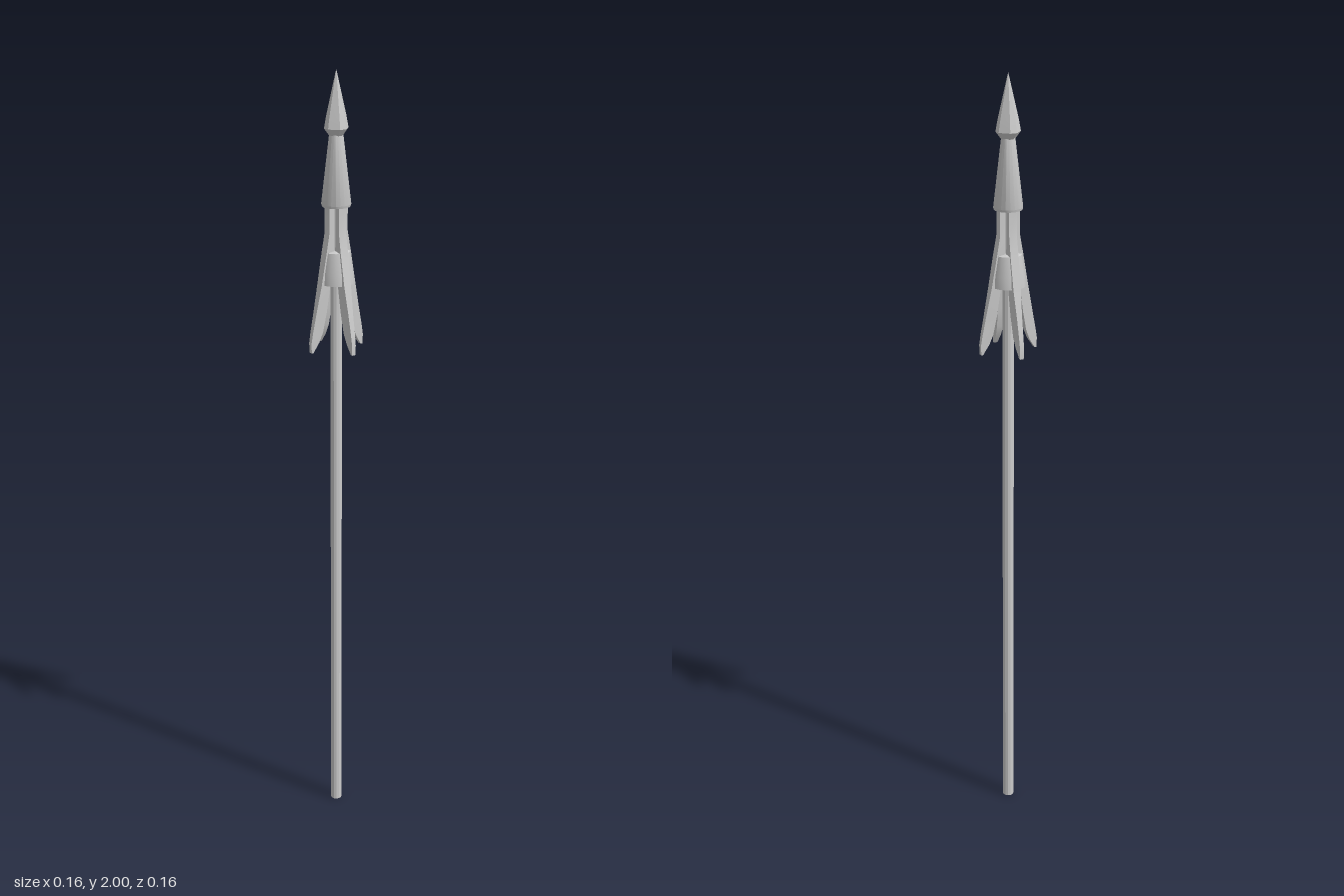
import * as THREE from 'three';
import { toCreasedNormals } from 'three/addons/utils/BufferGeometryUtils.js';

const material = new THREE.MeshStandardMaterial({ color: 0xcccccc });

function part(name, geometry) {
  const mesh = new THREE.Mesh(toCreasedNormals(geometry, 0.5), material);
  mesh.name = name;
  return mesh;
}

function lathe(name, points, segments) {
  return part(name, new THREE.LatheGeometry(points.map(([r, y]) => new THREE.Vector2(r, y)), segments));
}

// Four-sided loft running down in y; each row is [y, inner x, outer x, inner half width, outer half width]
function loft(rows) {
  const positions = [];
  const index = [];
  for (const [y, xi, xo, wi, wo] of rows) {
    positions.push(xi, y, wi, xo, y, wo, xo, y, -wo, xi, y, -wi);
  }
  for (let i = 0; i < rows.length - 1; i++) {
    for (let j = 0; j < 4; j++) {
      const a = i * 4 + j, b = i * 4 + (j + 1) % 4;
      index.push(a, a + 4, b, b, a + 4, b + 4);
    }
  }
  const e = (rows.length - 1) * 4;
  index.push(0, 1, 2, 0, 2, 3, e, e + 2, e + 1, e, e + 3, e + 2);
  const geometry = new THREE.BufferGeometry();
  geometry.setAttribute('position', new THREE.Float32BufferAttribute(positions, 3));
  geometry.setIndex(index);
  geometry.computeVertexNormals();
  return geometry;
}

// Pointed head whose eight corners sit in pairs beside the x and z axes
function headGeometry() {
  const rings = [[0.018, 1.845], [0.031, 1.862], [0.026, 1.89], [0.0005, 2]];
  const profile = [[0, 1.845], ...rings, [0, 2]].map(([r, y]) => new THREE.Vector2(r, y));
  const geometry = new THREE.LatheGeometry(profile, 8);
  const pos = geometry.attributes.position;
  for (let i = 0; i < pos.count; i++) {
    const r = Math.hypot(pos.getX(i), pos.getZ(i));
    const step = Math.floor(i / profile.length);
    const angle = Math.floor(step / 2) * Math.PI / 2 + (step % 2 ? 0.29 : -0.29);
    pos.setXYZ(i, r * Math.sin(angle), pos.getY(i), r * Math.cos(angle));
  }
  return geometry;
}

export function createModel() {
  const model = new THREE.Group();
  model.name = 'harpoon';

  // Long shaft reaching up inside the socket
  const shaft = part('shaft', new THREE.CylinderGeometry(0.0145, 0.0145, 1.7, 12));
  shaft.position.y = 0.85;
  model.add(shaft);

  // Tapered socket between the neck and the head
  model.add(lathe('socket', [[0, 1.672], [0.035, 1.672], [0.037, 1.678], [0.017, 1.85], [0, 1.85]], 20));
  model.add(part('head', headGeometry()));

  // Flared collar, hollow underneath
  model.add(lathe('collar', [
    [0.014, 1.545], [0.035, 1.485], [0.044, 1.48], [0.042, 1.51], [0.034, 1.56], [0.014, 1.565],
  ], 20));

  // Four arms that run down the neck and spread into barbs
  const barb = loft([
    [1.68, 0.012, 0.027, 0.0105, 0.0105],
    [1.61, 0.012, 0.027, 0.0105, 0.0105],
    [1.56, 0.013, 0.036, 0.012, 0.011],
    [1.48, 0.026, 0.05, 0.013, 0.01],
    [1.41, 0.036, 0.064, 0.011, 0.007],
    [1.36, 0.046, 0.074, 0.009, 0.006],
    [1.335, 0.056, 0.078, 0.007, 0.0055],
    [1.31, 0.072, 0.077, 0.005, 0.005],
  ]);
  for (let i = 0; i < 4; i++) {
    const mesh = part('barb' + (i + 1), barb);
    mesh.rotation.y = i * Math.PI / 2;
    model.add(mesh);
  }
  return model;
}
